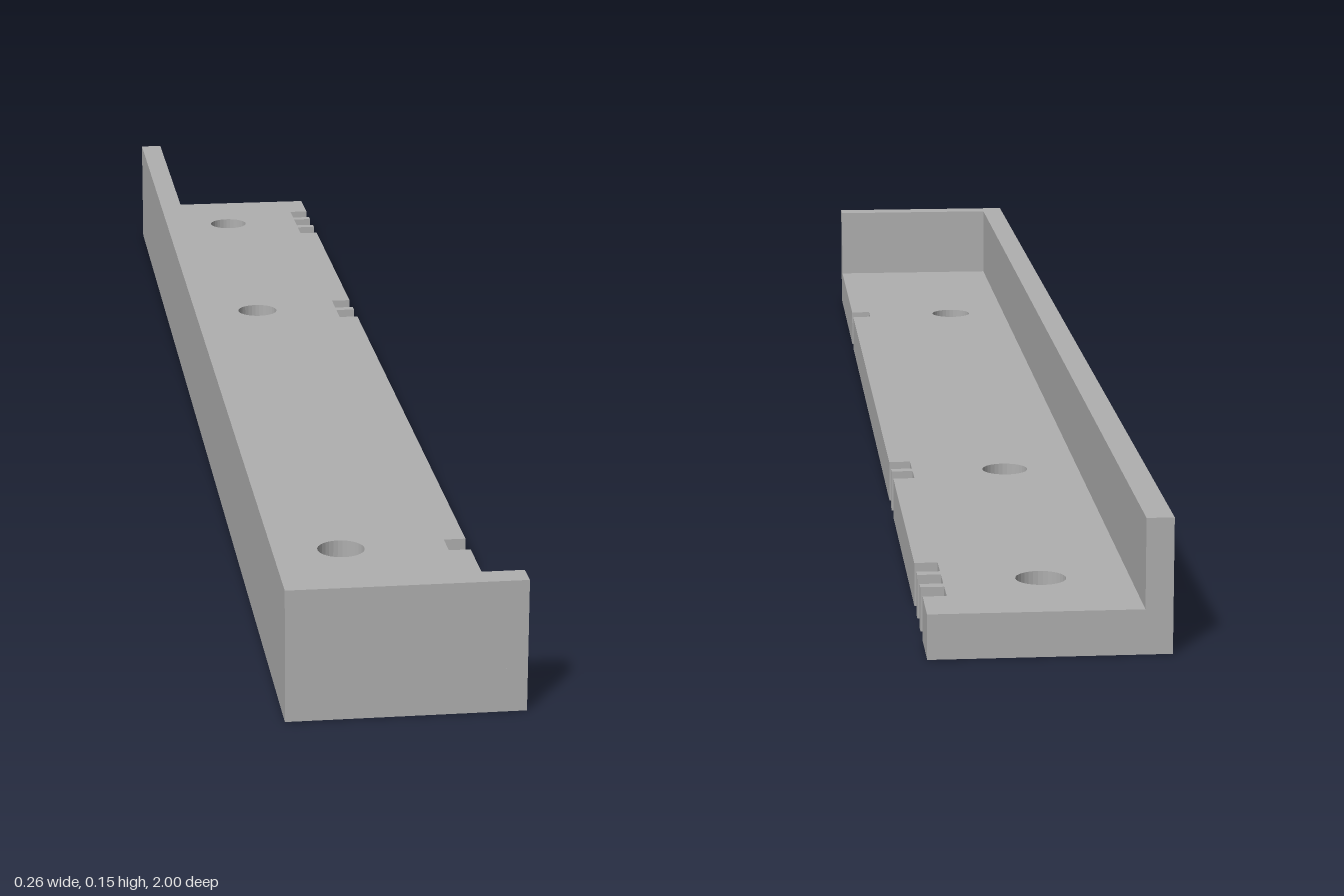
import * as THREE from 'three';

const W = 0.131, L = 1, BASE = 0.05, TOP = 0.15, WALL = 0.03;

// Extrude a plan outline of [x, z] points upward from y0 to y1
function slab(name, points, y0, y1, material, holes = []) {
  const shape = new THREE.Shape(points.map(([x, z]) => new THREE.Vector2(x, -z)));
  for (const [x, z, r] of holes) {
    shape.holes.push(new THREE.Path().absarc(x, -z, r, 0, Math.PI * 2, true));
  }
  const geo = new THREE.ExtrudeGeometry(shape, { depth: y1 - y0, bevelEnabled: false, curveSegments: 16 });
  geo.rotateX(-Math.PI / 2).translate(0, y0, 0);
  const mesh = new THREE.Mesh(geo, material);
  mesh.name = name;
  return mesh;
}

export function createModel() {
  const group = new THREE.Group();
  group.name = 'notchedTray';
  const grey = new THREE.MeshStandardMaterial({ color: 0xb0b0b0 });
  grey.name = 'grey';

  // Base plate: notches along the +x edge, three screw holes
  const notchCentres = [0.622, -0.345, -0.394, -0.816, -0.865, -0.914];
  const half = 0.018, inner = 0.105;
  const outline = [[-W, -L], [-W, L], [W, L]];
  for (const z of notchCentres) {
    outline.push([W, z + half], [inner, z + half], [inner, z - half], [W, z - half]);
  }
  outline.push([W, -L]);
  const holes = [[-0.003, -0.87, 0.028], [-0.01, -0.375, 0.028], [-0.02, 0.62, 0.028]];
  group.add(slab('basePlate', outline, 0, BASE, grey, holes));

  // L-shaped rim: long side wall and front end wall
  const rim = [[-W, -L], [-W, L], [W, L], [W, L - WALL], [-W + WALL, L - WALL], [-W + WALL, -L]];
  group.add(slab('rimWall', rim, BASE, TOP, grey));

  return group;
}
